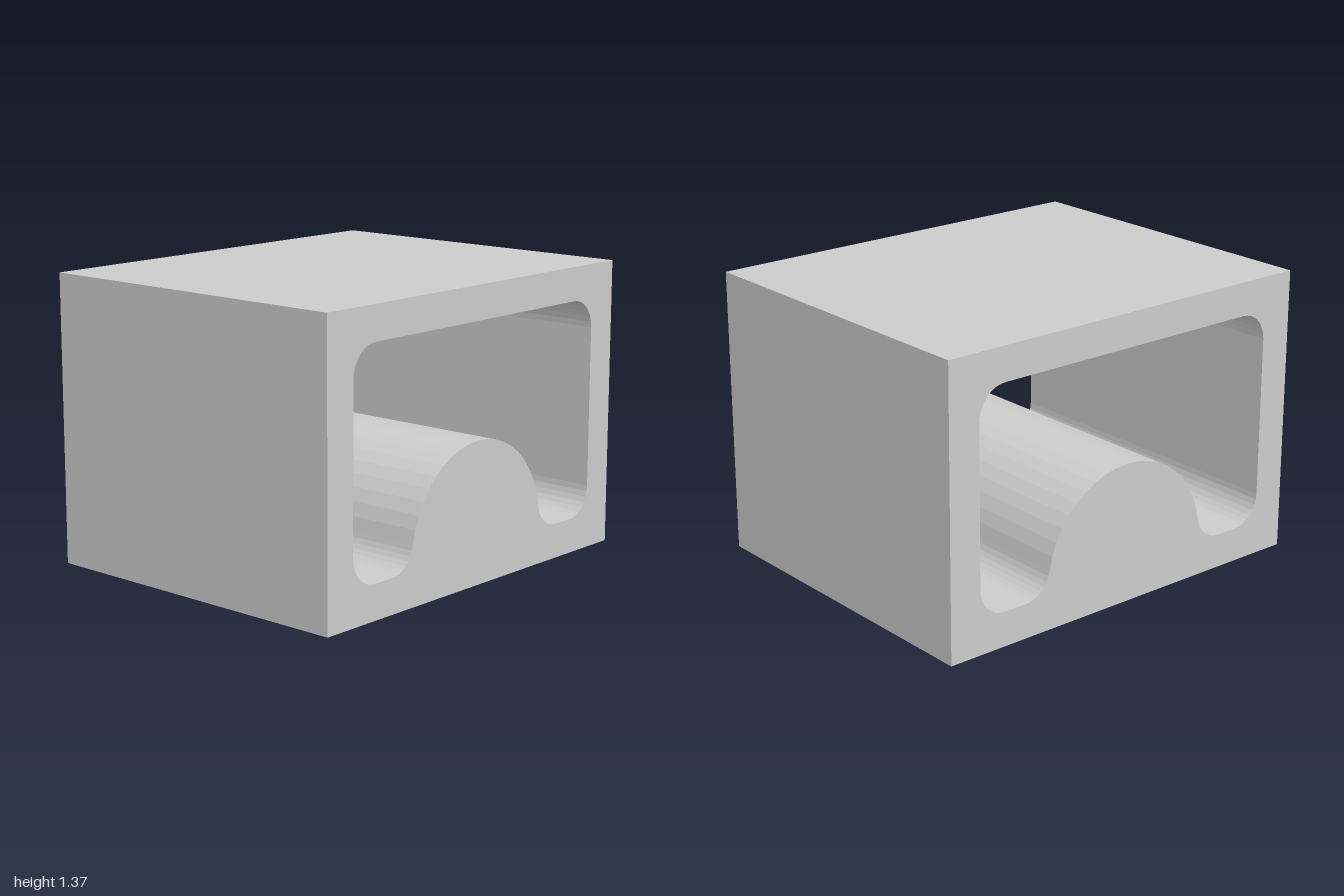
import * as THREE from 'three';

const WIDTH = 2, HEIGHT = 1.37, DEPTH = 1.64;
const INNER_X = 0.84, FLOOR = 0.165, CEILING = 1.21, R = 0.14; // opening and its corner radius
const DOME_TOP = 0.67, FILLET_X = 0.59;

// Points along an arc, both ends included
function arc(cx, cy, r, from, to, steps) {
  return Array.from({ length: steps + 1 }, (_, i) => {
    const a = from + (to - from) * i / steps;
    return new THREE.Vector2(cx + r * Math.cos(a), cy + r * Math.sin(a));
  });
}

export function createModel() {
  const group = new THREE.Group();
  const PI = Math.PI, w = WIDTH / 2;

  // Rectangular outline
  const outline = new THREE.Shape([
    new THREE.Vector2(-w, 0), new THREE.Vector2(w, 0),
    new THREE.Vector2(w, HEIGHT), new THREE.Vector2(-w, HEIGHT),
  ]);

  // Dome circle, tangent to the fillets beside it
  const fy = FLOOR + R, k = DOME_TOP + R;
  const domeY = (k * k - FILLET_X * FILLET_X - fy * fy) / (2 * (k - fy));
  const domeR = DOME_TOP - domeY;
  const t = Math.atan2(fy - domeY, FILLET_X);

  // Rounded opening with the dome rising from its floor
  const cx = INNER_X - R, cy = CEILING - R;
  outline.holes.push(new THREE.Path([
    ...arc(cx, fy, R, -PI / 2, 0, 8),
    ...arc(cx, cy, R, 0, PI / 2, 8),
    ...arc(-cx, cy, R, PI / 2, PI, 8),
    ...arc(-cx, fy, R, PI, 1.5 * PI, 8),
    ...arc(-FILLET_X, fy, R, -PI / 2, -t, 8),
    ...arc(0, domeY, domeR, PI - t, t, 20).slice(1, -1),
    ...arc(FILLET_X, fy, R, PI + t, 1.5 * PI, 8),
  ]));

  // Tunnel block
  const geometry = new THREE.ExtrudeGeometry(outline, { depth: DEPTH, bevelEnabled: false });
  geometry.translate(0, 0, -DEPTH / 2);
  const block = new THREE.Mesh(geometry,
    new THREE.MeshStandardMaterial({ color: 0xcccccc, flatShading: true }));
  block.name = 'tunnelBlock';
  group.add(block);
  return group;
}
